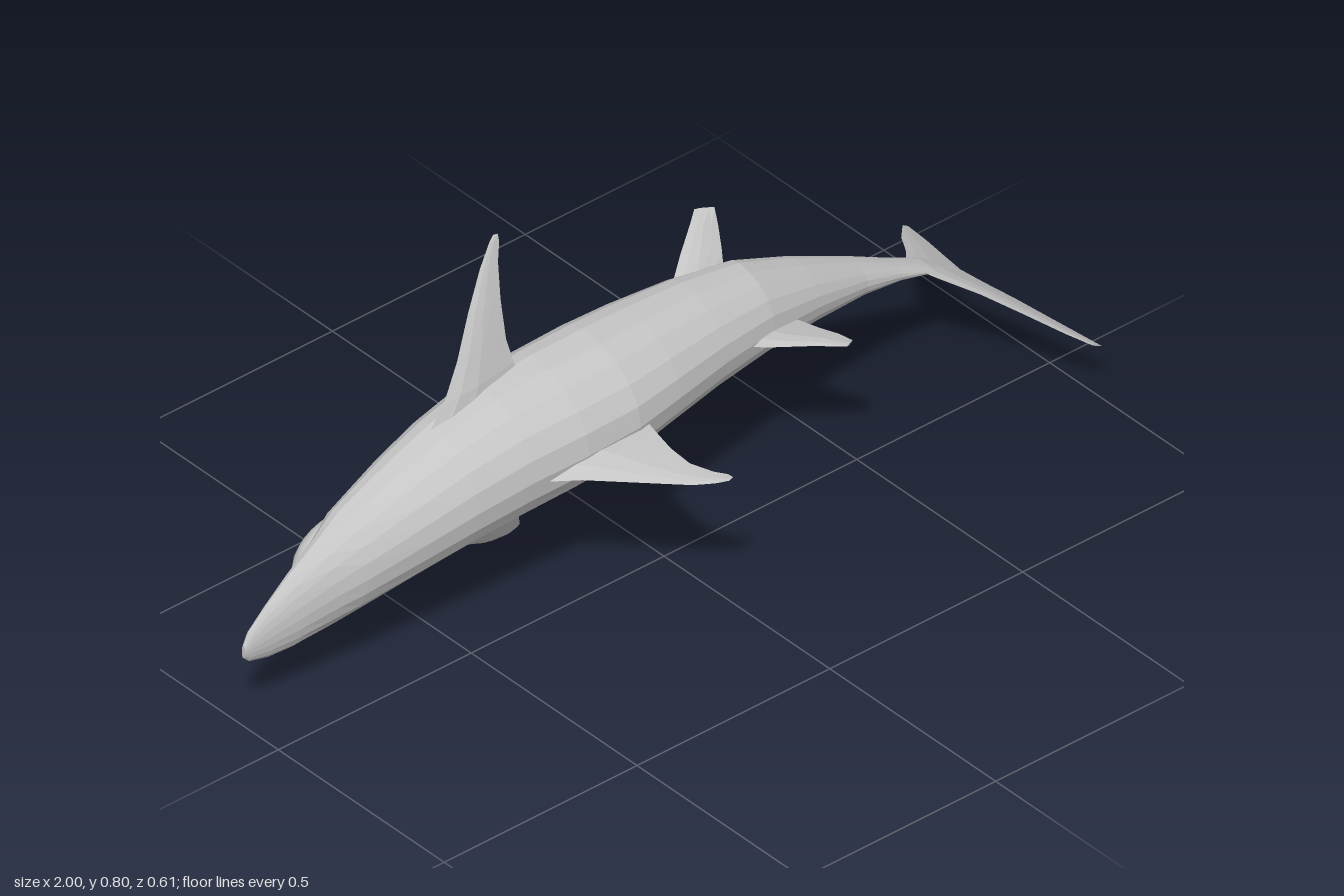
import * as THREE from 'three';

const skin = new THREE.MeshStandardMaterial({ color: 0xc4c4c4 });
skin.name = 'grey skin';

// Closed faceted skin through a list of equal-length rings
function loft(rings) {
  const n = rings[0].length, pos = rings.flat().flatMap(v => [v.x, v.y, v.z]), index = [];
  for (let i = 0; i < rings.length - 1; i++) {
    for (let j = 0; j < n; j++) {
      const a = i * n + j, b = i * n + (j + 1) % n;
      index.push(a, a + n, b, b, a + n, b + n);
    }
  }
  const last = (rings.length - 1) * n;
  for (let j = 1; j < n - 1; j++) index.push(0, j, j + 1, last, last + j + 1, last + j);
  let geo = new THREE.BufferGeometry();
  geo.setAttribute('position', new THREE.Float32BufferAttribute(pos, 3));
  geo.setIndex(index);
  geo = geo.toNonIndexed();
  geo.computeVertexNormals();
  return geo;
}

// Fin with a lens-shaped section; each row is leading xyz, trailing xyz
function finGeometry(rows, thickness) {
  const secs = rows.map(r => [new THREE.Vector3(r[0], r[1], r[2]), new THREE.Vector3(r[3], r[4], r[5])]);
  const mid = secs[Math.floor(secs.length / 2)];
  const span = secs.at(-1)[0].clone().add(secs.at(-1)[1]).sub(secs[0][0]).sub(secs[0][1]);
  const normal = span.cross(mid[1].clone().sub(mid[0])).normalize();
  const maxChord = Math.max(...secs.map(([l, t]) => l.distanceTo(t)));
  const lens = [[0, 0], [0.2, 0.8], [0.45, 1], [0.75, 0.5], [1, 0], [0.75, -0.5], [0.45, -1], [0.2, -0.8]];
  return loft(secs.map(([l, t]) => {
    const h = thickness / 2 * l.distanceTo(t) / maxChord;
    return lens.map(([u, w]) => l.clone().lerp(t, u).addScaledVector(normal, w * h));
  }));
}

// Body stations: x, upper y, lower y, back z, belly z
const stations = [
  [-1, 0.195, 0.165, -0.1, -0.11],
  [-0.985, 0.22, 0.15, -0.096, -0.116],
  [-0.94, 0.262, 0.14, -0.085, -0.122],
  [-0.88, 0.31, 0.14, -0.068, -0.132],
  [-0.8, 0.36, 0.15, -0.047, -0.15],
  [-0.74, 0.39, 0.158, -0.03, -0.178],
  [-0.6, 0.452, 0.185, 0.002, -0.2],
  [-0.5, 0.495, 0.205, 0.024, -0.207],
  [-0.38, 0.53, 0.225, 0.045, -0.212],
  [-0.25, 0.547, 0.245, 0.065, -0.215],
  [-0.12, 0.55, 0.264, 0.07, -0.216],
  [0, 0.543, 0.28, 0.05, -0.213],
  [0.15, 0.528, 0.292, 0.018, -0.205],
  [0.3, 0.503, 0.298, -0.012, -0.193],
  [0.45, 0.442, 0.296, -0.048, -0.18],
  [0.6, 0.37, 0.286, -0.082, -0.167],
  [0.7, 0.32, 0.277, -0.093, -0.158],
  [0.78, 0.282, 0.26, -0.095, -0.155],
  [0.86, 0.228, 0.218, -0.1, -0.145],
];

// Flattened belly and a tapered back, widest nearer the belly
function bodyGeometry(sides = 20) {
  return loft(stations.map(([x, top, bottom, back, belly]) => {
    const cy = (top + bottom) / 2, hy = (top - bottom) / 2;
    const wide = belly + 0.38 * (back - belly);
    return Array.from({ length: sides }, (_, j) => {
      const a = j / sides * Math.PI * 2, c = Math.cos(a);
      const z = wide + c * (c > 0 ? back - wide : wide - belly);
      return new THREE.Vector3(x, cy + hy * Math.sin(a), z);
    });
  }));
}

const fins = {
  dorsalFin: [0.036, [
    [-0.36, 0.365, 0.03, -0.085, 0.4, 0.03],
    [-0.29, 0.37, 0.09, -0.1, 0.4, 0.09],
    [-0.24, 0.375, 0.15, -0.112, 0.397, 0.15],
    [-0.19, 0.38, 0.21, -0.114, 0.394, 0.21],
    [-0.15, 0.385, 0.26, -0.095, 0.392, 0.26],
    [-0.115, 0.388, 0.288, -0.077, 0.39, 0.283],
    [-0.09, 0.39, 0.301, -0.076, 0.39, 0.297]]],
  upperPectoralFin: [0.028, [
    [-0.53, 0.47, -0.105, -0.285, 0.5, -0.1],
    [-0.475, 0.53, -0.112, -0.295, 0.55, -0.11],
    [-0.425, 0.6, -0.13, -0.302, 0.6, -0.125],
    [-0.375, 0.68, -0.155, -0.295, 0.68, -0.15],
    [-0.325, 0.75, -0.178, -0.28, 0.75, -0.175],
    [-0.29, 0.79, -0.191, -0.266, 0.785, -0.188],
    [-0.275, 0.801, -0.196, -0.264, 0.8, -0.194]]],
  lowerPectoralFin: [0.028, [
    [-0.5, 0.25, -0.11, -0.245, 0.27, -0.105],
    [-0.46, 0.2, -0.135, -0.237, 0.2, -0.14],
    [-0.4, 0.13, -0.18, -0.218, 0.13, -0.18],
    [-0.325, 0.06, -0.222, -0.19, 0.07, -0.218],
    [-0.255, 0.018, -0.247, -0.165, 0.025, -0.243],
    [-0.195, 0.001, -0.258, -0.16, 0.008, -0.256]]],
  secondDorsalFin: [0.022, [
    [0.2, 0.4, -0.03, 0.37, 0.385, -0.03],
    [0.25, 0.4, 0.02, 0.385, 0.385, 0.02],
    [0.32, 0.395, 0.065, 0.402, 0.384, 0.06],
    [0.385, 0.386, 0.105, 0.412, 0.38, 0.09]]],
  upperPelvicFin: [0.022, [
    [0.14, 0.495, -0.145, 0.28, 0.483, -0.145],
    [0.21, 0.527, -0.195, 0.3, 0.51, -0.175],
    [0.27, 0.552, -0.235, 0.325, 0.535, -0.215],
    [0.3, 0.56, -0.258, 0.337, 0.558, -0.24]]],
  lowerPelvicFin: [0.022, [
    [0.15, 0.33, -0.145, 0.29, 0.33, -0.145],
    [0.21, 0.285, -0.19, 0.295, 0.295, -0.18],
    [0.25, 0.262, -0.225, 0.301, 0.274, -0.215],
    [0.28, 0.25, -0.252, 0.3, 0.254, -0.25]]],
};

// Tail blade: z, leading x, trailing x; it sinks in a slope behind the body
const tailY = (x, z) => 0.27 - 0.59 * (x - 0.78) - 0.05 * (z + 0.1);
const tailRows = [
  [-0.31, 0.885, 0.9], [-0.25, 0.83, 0.897], [-0.19, 0.79, 0.888], [-0.13, 0.74, 0.88],
  [-0.08, 0.76, 0.9], [-0.02, 0.835, 0.93], [0.05, 0.887, 0.957], [0.12, 0.935, 0.985], [0.158, 0.97, 1],
].map(([z, a, b]) => [a, tailY(a, z), z, b, tailY(b, z), z]);

export function createModel() {
  const model = new THREE.Group();
  const add = (name, geo) => {
    const mesh = new THREE.Mesh(geo, skin);
    mesh.name = name;
    model.add(mesh);
    return mesh;
  };
  add('body', bodyGeometry());

  // Lower jaw stepping out beneath the flat snout
  const jaw = add('lowerJaw', new THREE.SphereGeometry(1, 18, 12));
  jaw.scale.set(0.105, 0.08, 0.05);
  jaw.position.set(-0.735, 0.277, -0.141);
  jaw.rotation.z = 0.33;

  for (const [name, [thickness, rows]] of Object.entries(fins)) add(name, finGeometry(rows, thickness));
  add('tailFin', finGeometry(tailRows, 0.014));
  return model;
}
